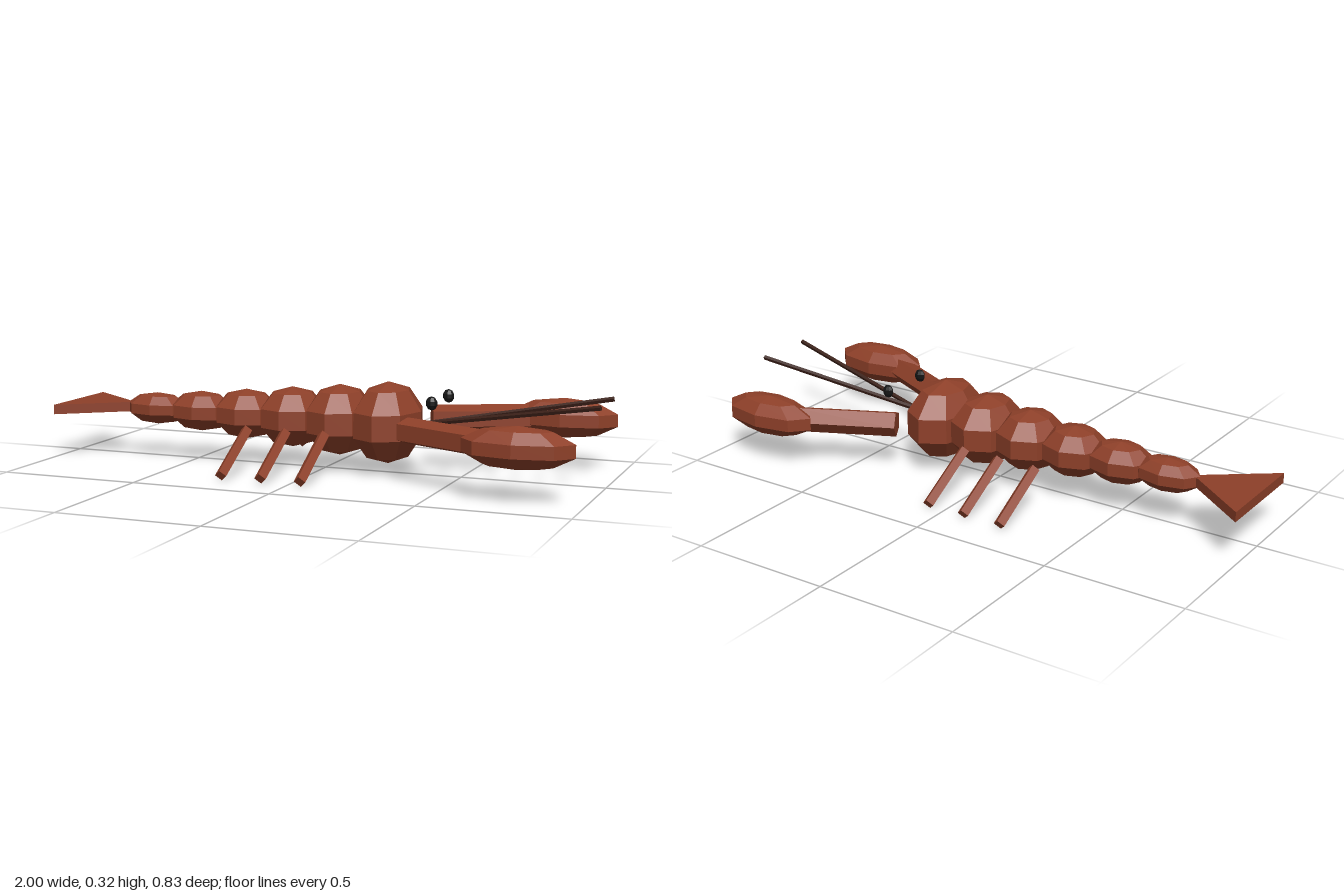
import * as THREE from 'three';

const AXIS_Y = 0.175; // height of the body's centre line

export function createModel() {
  const model = new THREE.Group();
  model.name = 'lobster';
  const paint = (name, color) => {
    const material = new THREE.MeshStandardMaterial({ color, flatShading: true });
    material.name = name;
    return material;
  };
  const shell = paint('rusty shell', 0x8e4029);
  const dark = paint('dark brown feeler', 0x3a1f17);
  const black = paint('eye black', 0x151515);

  const add = (name, geometry, material) => {
    const mesh = new THREE.Mesh(geometry, material);
    mesh.name = name;
    model.add(mesh);
    return mesh;
  };

  // Faceted ellipsoid with its poles on y
  const ball = (name, pos, radii, material = shell) => {
    const mesh = add(name, new THREE.SphereGeometry(1, 8, 5), material);
    mesh.scale.set(...radii);
    mesh.position.set(...pos);
  };

  // Few-sided rod from a to b, with one edge turned towards the ridge direction
  const rod = (name, a, b, radius, sides, ridge, material = shell) => {
    const start = new THREE.Vector3(...a), end = new THREE.Vector3(...b);
    const along = end.clone().sub(start);
    const mesh = add(name, new THREE.CylinderGeometry(radius, radius, along.length(), sides), material);
    const y = along.normalize();
    const x = y.clone().cross(new THREE.Vector3(...ridge)).normalize();
    const z = x.clone().cross(y);
    mesh.quaternion.setFromRotationMatrix(new THREE.Matrix4().makeBasis(x, y, z));
    mesh.position.copy(start.add(end).multiplyScalar(0.5));
  };

  // Body segments, from the head back to the tail
  [0.144, 0.126, 0.108, 0.09, 0.073, 0.058].forEach((r, i) => {
    ball(i ? `bodySegment${i}` : 'head', [0.234 - i * 0.18, AXIS_Y, 0], [0.126, r, r * 1.24]);
  });

  // Triangular tail fan with its point towards the body
  const fan = new THREE.CylinderGeometry(0.16, 0.16, 0.035, 3).rotateY(Math.PI / 2);
  const tail = add('tailFan', fan, shell);
  tail.scale.z = 1.3;
  tail.position.set(-0.92, AXIS_Y, 0);

  for (const s of [1, -1]) {
    const side = s > 0 ? 'left' : 'right';
    // Claw and its arm
    rod(`${side}Arm`, [0.345, AXIS_Y, s * 0.15], [0.67, AXIS_Y, s * 0.305], 0.047, 5, [0, 0, -1]);
    ball(`${side}Claw`, [0.782, AXIS_Y, s * 0.328], [0.197, 0.071, 0.09]);
    // Walking legs
    [0.052, -0.092, -0.238].forEach((x, i) => {
      rod(`${side}Leg${i + 1}`, [x, 0.142, s * 0.15], [x, 0.018, s * 0.365], 0.021, 4, [0, 1, 0]);
    });
    // Feeler and eye
    rod(`${side}Antenna`, [0.38, 0.18, s * 0.003], [0.998, 0.283, s * 0.109], 0.009, 5, [0, 1, 0], dark);
    ball(`${side}Eye`, [0.422, 0.265, s * 0.096], [0.021, 0.024, 0.015], black);
  }
  return model;
}
